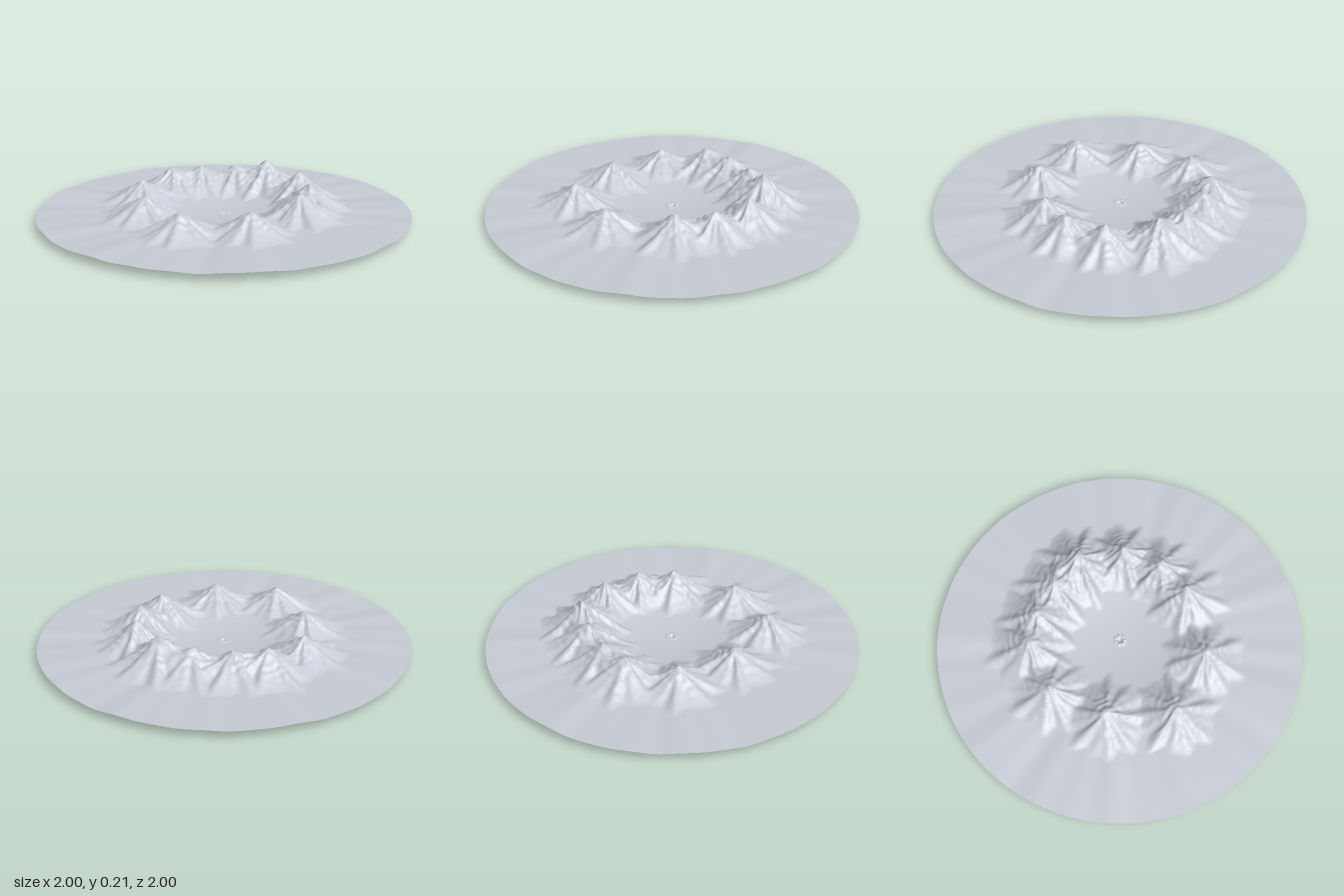
import * as THREE from 'three';
import { mergeVertices } from 'three/addons/utils/BufferGeometryUtils.js';

// Mountain peaks: x, z, height above the plain, foot radius
const PEAKS = [
  [-0.44, -0.2, 0.115, 0.22], [-0.43, 0.13, 0.115, 0.22],
  [-0.25, 0.45, 0.12, 0.22], [0.1, 0.46, 0.12, 0.22],
  [0.38, 0.22, 0.135, 0.23], [0.46, 0.03, 0.145, 0.21], [0.44, -0.19, 0.15, 0.21],
  [0.28, -0.4, 0.17, 0.24], [0.1, -0.45, 0.135, 0.23],
  [-0.1, -0.45, 0.135, 0.23], [-0.27, -0.41, 0.14, 0.23],
];

const smooth = THREE.MathUtils.smoothstep;

// One peak: a concave cone whose foot radius is scalloped into spurs and gullies
function peakHeight(x, z, [px, pz, h, foot], i) {
  const dx = x - px, dz = z - pz;
  const a = Math.atan2(dz, dx);
  const spurs = 1 + 0.1 * Math.sin(8 * a + i * 1.7) + 0.06 * Math.sin(13 * a + i * 2.9);
  const d = Math.hypot(dx, dz) * spurs / foot;
  return d < 1 ? h * Math.pow(1 - d, 1.4) : 0;
}

function terrainHeight(x, z) {
  const r = Math.hypot(x, z), a = Math.atan2(z, x);
  // Shallow bowl inside the mountain ring
  let y = 0.01 + 0.028 * Math.min(1, (r / 0.33) ** 2);
  // Radial ripples over the outer plain
  const ripple = Math.sin(9 * a + 0.6) + 0.8 * Math.sin(16 * a + 2) + 0.6 * Math.sin(29 * a + 4);
  y += 0.0022 * ripple * smooth(r, 0.3, 0.8);
  // Peaks blended into a ring
  const sum = PEAKS.reduce((s, p, i) => s + Math.pow(peakHeight(x, z, p, i), 2.5), 0);
  const rise = Math.pow(sum, 0.4);
  const crags = Math.sin(61 * x + 3 * Math.sin(37 * z)) * Math.sin(67 * z + 2 * Math.sin(41 * x));
  y += rise * (1 + 0.07 * crags);
  // Small rimmed pit at the centre
  y += 0.006 * Math.exp(-(((r - 0.024) / 0.007) ** 2)) * (1 + 0.4 * Math.sin(7 * a));
  y -= 0.01 * (1 - smooth(r, 0, 0.018));
  return y;
}

export function createModel() {
  const model = new THREE.Group();
  model.name = 'mountainRingLandscape';

  const stone = new THREE.MeshStandardMaterial({ color: 0xc8ccd6, side: THREE.DoubleSide });
  stone.name = 'pale stone';

  // Disc of land, lifted by the height rule
  let geometry = new THREE.RingGeometry(0, 1, 256, 150);
  geometry.rotateX(-Math.PI / 2);
  geometry.deleteAttribute('uv');
  geometry.deleteAttribute('normal');
  geometry = mergeVertices(geometry, 1e-5);
  const pos = geometry.attributes.position;
  for (let i = 0; i < pos.count; i++) {
    pos.setY(i, terrainHeight(pos.getX(i), pos.getZ(i)));
  }
  geometry.computeVertexNormals();

  const terrain = new THREE.Mesh(geometry, stone);
  terrain.name = 'terrain';
  model.add(terrain);
  return model;
}
